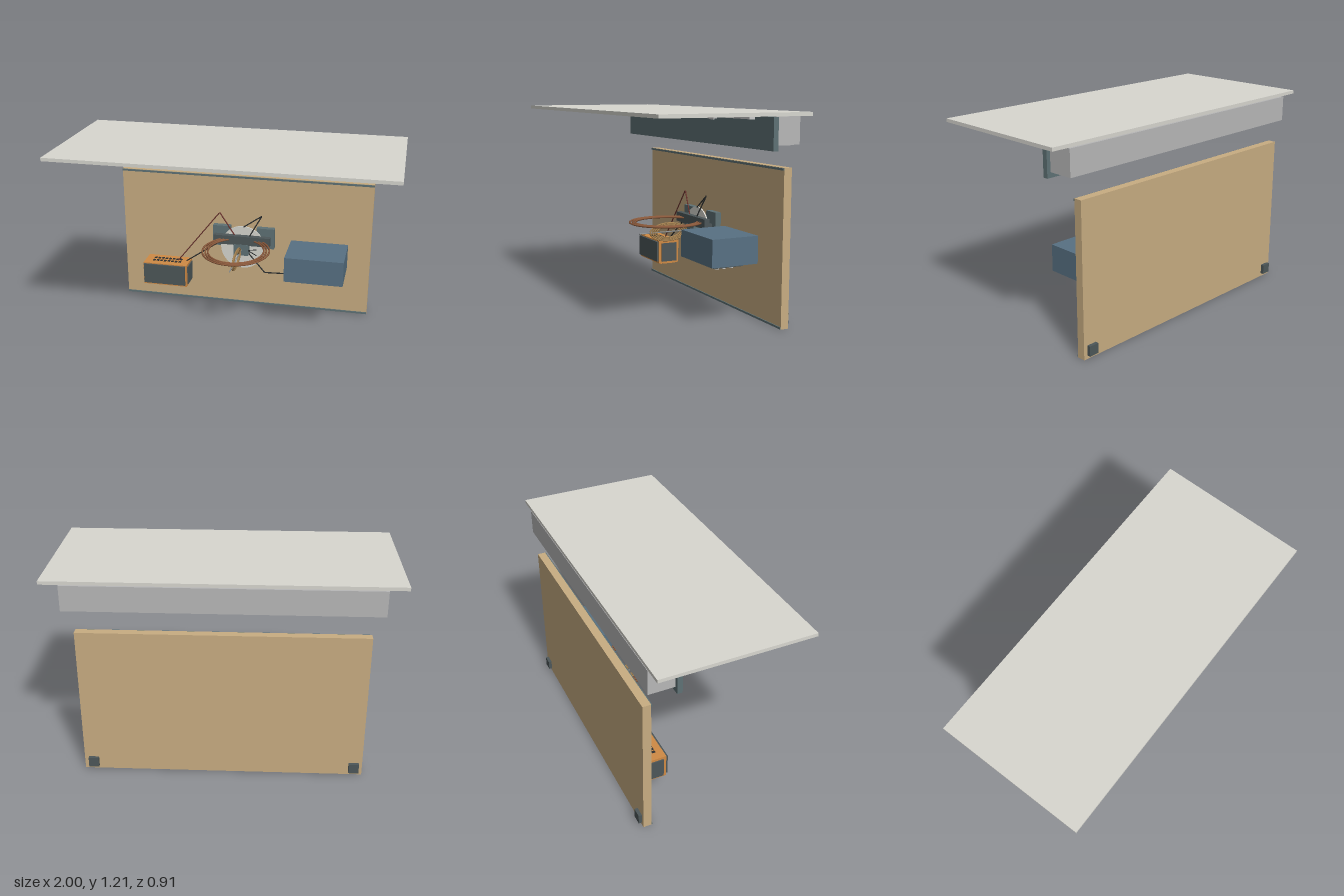
import * as THREE from 'three';

const mat = (color) => new THREE.MeshStandardMaterial({ color });
const M = {
  slab: mat(0xd8d7d0), wood: mat(0xc8ad82), teal: mat(0x5f7275), grey: mat(0xb8b8b8), lamp: mat(0xd0d0d0),
  dark: mat(0x4d5759), black: mat(0x2c2f30), orange: mat(0xcf8a45), blue: mat(0x587183),
  vent: mat(0x4d6b8c), copper: mat(0x8c5a3c), rope: mat(0xa88452), red: mat(0xb5503c),
  cable: mat(0x6e3530), plate: mat(0x8f9394),
};

export function createModel() {
  const root = new THREE.Group();

  const add = (name, geo, material, parent = root) => {
    const mesh = new THREE.Mesh(geo, material);
    mesh.name = name;
    parent.add(mesh);
    return mesh;
  };
  // Box from its min and max limits on each axis
  const box = (name, m, x0, x1, y0, y1, z0, z1, parent) => {
    const b = add(name, new THREE.BoxGeometry(x1 - x0, y1 - y0, z1 - z0), m, parent);
    b.position.set((x0 + x1) / 2, (y0 + y1) / 2, (z0 + z1) / 2);
    return b;
  };
  const group = (name) => {
    const g = new THREE.Group();
    g.name = name;
    root.add(g);
    return g;
  };
  // Wire with straight runs between points
  const wire = (name, m, pts, r = 0.004) => {
    const path = new THREE.CurvePath();
    const v = pts.map((p) => new THREE.Vector3(...p));
    for (let i = 1; i < v.length; i++) path.add(new THREE.LineCurve3(v[i - 1], v[i]));
    add(name, new THREE.TubeGeometry(path, 24 * (v.length - 1), r, 6), m);
  };
  // Closed elliptical loop; at(c, s) maps cosine and sine to a point
  const loop = (name, m, r, at) => {
    const pts = [];
    for (let i = 0; i < 32; i++) {
      const a = (i / 32) * Math.PI * 2;
      pts.push(new THREE.Vector3(...at(Math.cos(a), Math.sin(a))));
    }
    add(name, new THREE.TubeGeometry(new THREE.CatmullRomCurve3(pts, true), 64, r, 6, true), m);
  };
  const knob = (name, m, x, y0, y1, z, r, parent) => {
    const k = add(name, new THREE.CylinderGeometry(r, r, y1 - y0, 16), m, parent);
    k.position.set(x, (y0 + y1) / 2, z);
  };

  // Top slab
  box('topSlab', M.slab, -1, 1, 1.185, 1.205, -0.435, 0.455);

  // Light rail under the slab
  const lights = group('lightRail');
  box('rail', M.lamp, -0.89, 0.89, 1.168, 1.185, -0.153, -0.118, lights);
  for (let i = -2; i <= 2; i++) {
    const x = i * 0.234;
    box('lampHousing', M.grey, x - 0.04, x + 0.04, 1.158, 1.168, -0.147, -0.124, lights);
    box('lampLens', M.lamp, x - 0.025, x + 0.025, 1.153, 1.158, -0.139, -0.132, lights);
  }

  // Overhead duct with its front board and underside panels
  const duct = group('overheadDuct');
  box('ductBox', M.grey, -0.89, 0.89, 1.03, 1.18, -0.435, -0.285, duct);
  box('frontBoard', M.teal, -0.912, 0.912, 1.0, 1.178, -0.285, -0.255, duct);
  for (let i = 0; i < 6; i++) {
    const x = -0.745 + i * 0.298;
    box('undersidePanel', M.grey, x - 0.13, x + 0.13, 1.026, 1.03, -0.41, -0.295, duct);
  }
  for (let i = 0; i < 3; i++) {
    const x = -0.36 + i * 0.08;
    box('ventBlock', M.vent, x - 0.034, x + 0.034, 1.018, 1.03, -0.313, -0.287, duct);
    box('ventBlock', M.vent, x - 0.034, x + 0.034, 1.018, 1.03, -0.368, -0.33, duct);
  }

  // Back board with trims and rear pads
  const board = group('backBoard');
  box('panel', M.wood, -0.825, 0.825, 0, 0.9, -0.435, -0.386, board);
  box('bottomTrim', M.teal, -0.825, 0.825, 0.002, 0.014, -0.386, -0.38, board);
  box('topTrim', M.teal, -0.825, 0.825, 0.886, 0.898, -0.386, -0.38, board);
  for (const x of [-0.775, 0.77]) box('rearPad', M.dark, x - 0.03, x + 0.03, 0.02, 0.08, -0.455, -0.435, board);

  // Orange speaker unit
  const speaker = group('speakerUnit');
  box('body', M.orange, -0.65, -0.355, 0.16, 0.312, -0.355, -0.212, speaker);
  box('frontGrille', M.dark, -0.645, -0.365, 0.172, 0.306, -0.212, -0.2, speaker);
  box('base', M.orange, -0.63, -0.375, 0.152, 0.16, -0.34, -0.23, speaker);
  box('wallMount', M.dark, -0.56, -0.45, 0.25, 0.29, -0.366, -0.355, speaker);
  for (const s of [-1, 1]) {
    const x = -0.5025 + s * 0.15;
    box('sidePanel', M.dark, x - 0.004, x + 0.004, 0.172, 0.296, -0.34, -0.23, speaker);
  }
  for (let i = 0; i < 8; i++) for (const z of [-0.265, -0.305]) {
    const x = -0.59 + i * 0.025;
    box('topSlot', M.black, x - 0.008, x + 0.008, 0.312, 0.315, z - 0.01, z + 0.01, speaker);
  }
  for (const x of [-0.48, -0.43]) knob('lowerKnob', M.dark, x, 0.142, 0.153, -0.265, 0.018, speaker);
  knob('redKnob', M.red, -0.455, 0.14, 0.153, -0.315, 0.009, speaker);

  // Blue cabinet with controls underneath
  const cabinet = group('blueCabinet');
  box('body', M.blue, 0.32, 0.685, 0.353, 0.512, -0.318, -0.025, cabinet);
  box('controlPlate', M.dark, 0.335, 0.67, 0.345, 0.353, -0.23, -0.045, cabinet);
  for (const x of [0.6, 0.64])
    for (const z of [-0.08, -0.125, -0.17]) knob('button', M.lamp, x, 0.336, 0.345, z, 0.013, cabinet);
  for (const z of [-0.215, -0.27]) knob('socket', M.dark, 0.39, 0.338, 0.353, z, 0.012, cabinet);

  // Pale disc with hub, bar and bracket plates
  const center = group('discAssembly');
  const disc = add('disc', new THREE.CylinderGeometry(0.145, 0.145, 0.008, 48), M.slab, center);
  disc.rotation.x = Math.PI / 2;
  disc.position.set(0.005, 0.443, -0.305);
  box('hubBlock', M.teal, -0.045, 0.05, 0.405, 0.48, -0.3, -0.25, center);
  box('crossBar', M.dark, -0.18, 0.19, 0.475, 0.535, -0.287, -0.252, center);
  for (const s of [-1, 1]) {
    const x = 0.005 + s * 0.145;
    box('bracketPlate', M.teal, x - 0.058, x + 0.058, 0.438, 0.575, -0.355, -0.318, center);
    box('bracketPin', M.dark, x - 0.015, x + 0.015, 0.46, 0.5, -0.335, -0.285, center);
  }
  const rod = add('rod', new THREE.CylinderGeometry(0.004, 0.004, 0.35, 8), M.plate, center);
  rod.rotation.x = Math.PI / 2;
  rod.position.set(0.005, 0.443, -0.075);

  // Horizontal ring and upright coil
  for (const k of [0, 0.018, 0.034])
    loop('ring', M.copper, 0.006, (c, s) => [0.005 + c * (0.209 - k), 0.507, -0.085 + s * (0.229 - k)]);
  for (let i = 0; i < 4; i++) {
    const k = 1 - i * 0.12;
    loop('coil', M.rope, 0.005, (c, s) => [0.005, 0.443 + s * 0.055 * k, -0.1 + c * 0.125 * k]);
  }

  // Cables
  wire('redCable', M.cable, [[-0.43, 0.315, -0.29], [-0.147, 0.675, -0.297], [-0.045, 0.535, -0.275]]);
  wire('leftCable', M.black, [[-0.375, 0.315, -0.29], [-0.14, 0.48, -0.28]]);
  wire('upperCable', M.black, [[0.01, 0.585, -0.298], [0.13, 0.67, -0.296], [0.055, 0.535, -0.272]]);
  wire('lowerCable', M.black, [[0.01, 0.445, -0.298], [0.157, 0.288, -0.275], [0.33, 0.305, -0.25], [0.37, 0.347, -0.205]]);
  for (const y of [0.4, 0.44]) wire('shortLead', M.black, [[0.045, 0.44, -0.26], [0.1, y, -0.28]], 0.003);

  return root;
}
